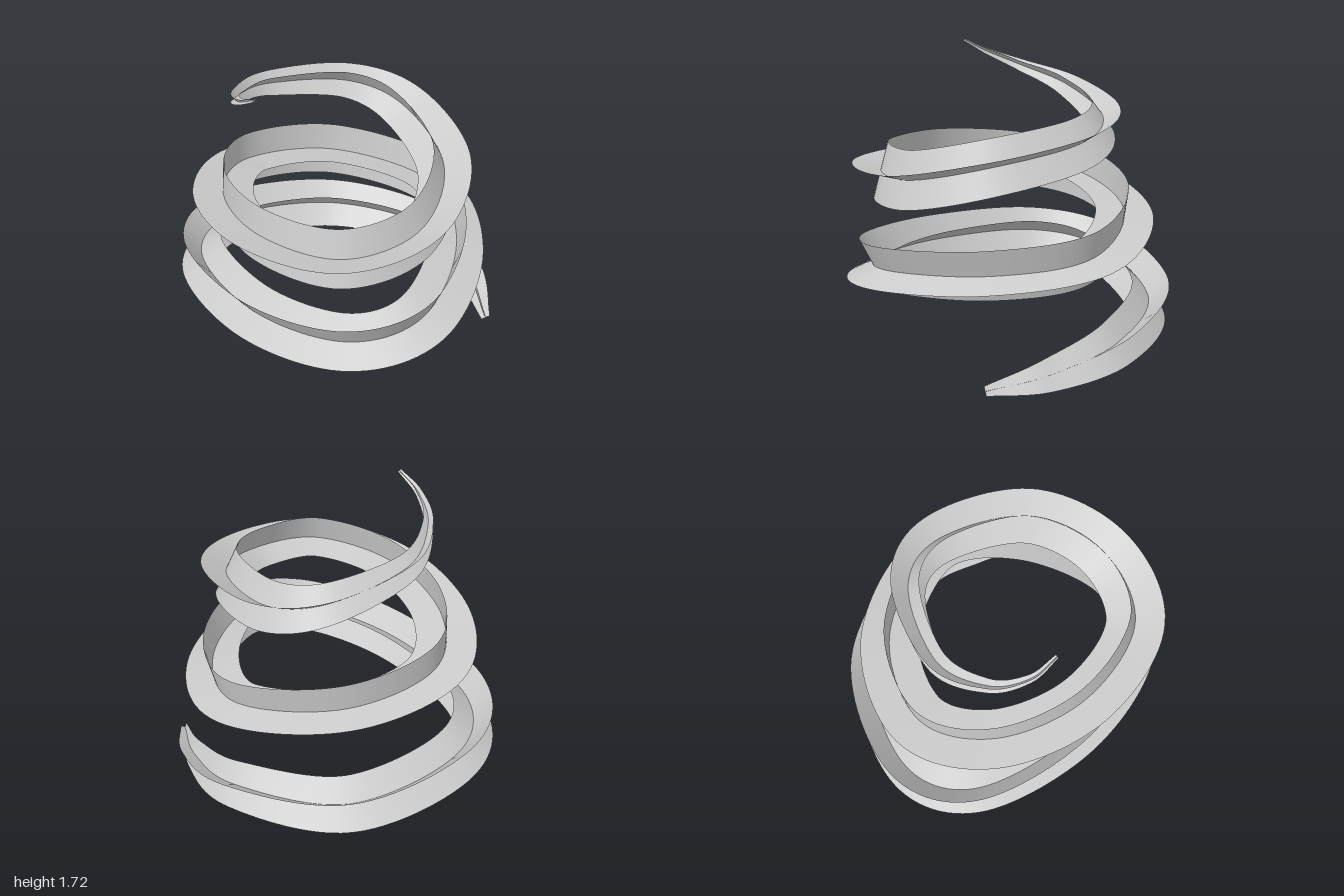
import * as THREE from 'three';

// Stations along the spiral, bottom to top: x, y, z of the spine and fin width
const stations = [
  [0.755, 0.032, -0.5, 0.028], [0.45, 0.092, -0.69, 0.092], [0, 0.175, -0.78, 0.138],
  [-0.62, 0.195, -0.475, 0.162], [-0.88, 0.288, 0.18, 0.165], [-0.65, 0.35, 0.605, 0.165],
  [0.03, 0.41, 0.755, 0.165], [0.635, 0.48, 0.595, 0.168], [0.845, 0.555, 0.2, 0.168],
  [0.585, 0.61, -0.365, 0.17], [0.1, 0.665, -0.66, 0.17], [-0.48, 0.75, -0.385, 0.175],
  [-0.7, 0.83, 0.15, 0.178], [-0.45, 0.91, 0.55, 0.177], [0.07, 0.99, 0.728, 0.172],
  [0.585, 1.035, 0.585, 0.172], [0.74, 1.075, 0.15, 0.168], [0.525, 1.185, -0.275, 0.16],
  [0.02, 1.268, -0.475, 0.146], [-0.32, 1.35, -0.34, 0.115], [-0.5, 1.445, 0.12, 0.078],
  [-0.4, 1.54, 0.43, 0.043], [-0.23, 1.632, 0.565, 0.024], [-0.065, 1.72, 0.585, 0.012],
];
const STEPS = 300;
const last = stations.length - 1;
const smoothCurve = (points) => new THREE.CatmullRomCurve3(points, false, 'catmullrom', 0.5);
const spine = smoothCurve(stations.map(([x, y, z]) => new THREE.Vector3(x, y, z)));
const widths = smoothCurve(stations.map((s, i) => new THREE.Vector3(s[3], i, 0)));

// One thin fin running along the spine, at a given angle around it
function makeFin(offset) {
  const geometry = new THREE.PlaneGeometry(1, 1, STEPS, 1);
  const position = geometry.attributes.position;
  const up = new THREE.Vector3(0, 1, 0);
  for (let i = 0; i <= STEPS; i++) {
    const t = i / STEPS;
    const root = spine.getPoint(t);
    const tangent = spine.getTangent(t);
    const outward = tangent.clone().cross(up).normalize();
    const rise = outward.clone().cross(tangent);
    // The cross-section turns slowly as it climbs
    const angle = THREE.MathUtils.degToRad(25.5 + 5.3 * t * last) + offset;
    const width = widths.getPoint(t).x;
    const tip = root.clone()
      .addScaledVector(outward, Math.cos(angle) * width)
      .addScaledVector(rise, Math.sin(angle) * width);
    position.setXYZ(i, tip.x, Math.max(tip.y, 0), tip.z);
    position.setXYZ(i + STEPS + 1, root.x, root.y, root.z);
  }
  geometry.computeVertexNormals();
  return geometry;
}

export function createModel() {
  const group = new THREE.Group();
  group.name = 'spiralRibbon';
  const material = new THREE.MeshStandardMaterial({ color: 0xcccccc, side: THREE.DoubleSide });

  // Four fins in a cross around the spine
  ['upperFin', 'innerFin', 'lowerFin', 'outerFin'].forEach((name, i) => {
    const fin = new THREE.Mesh(makeFin(i * Math.PI / 2), material);
    fin.name = name;
    group.add(fin);
  });
  return group;
}
